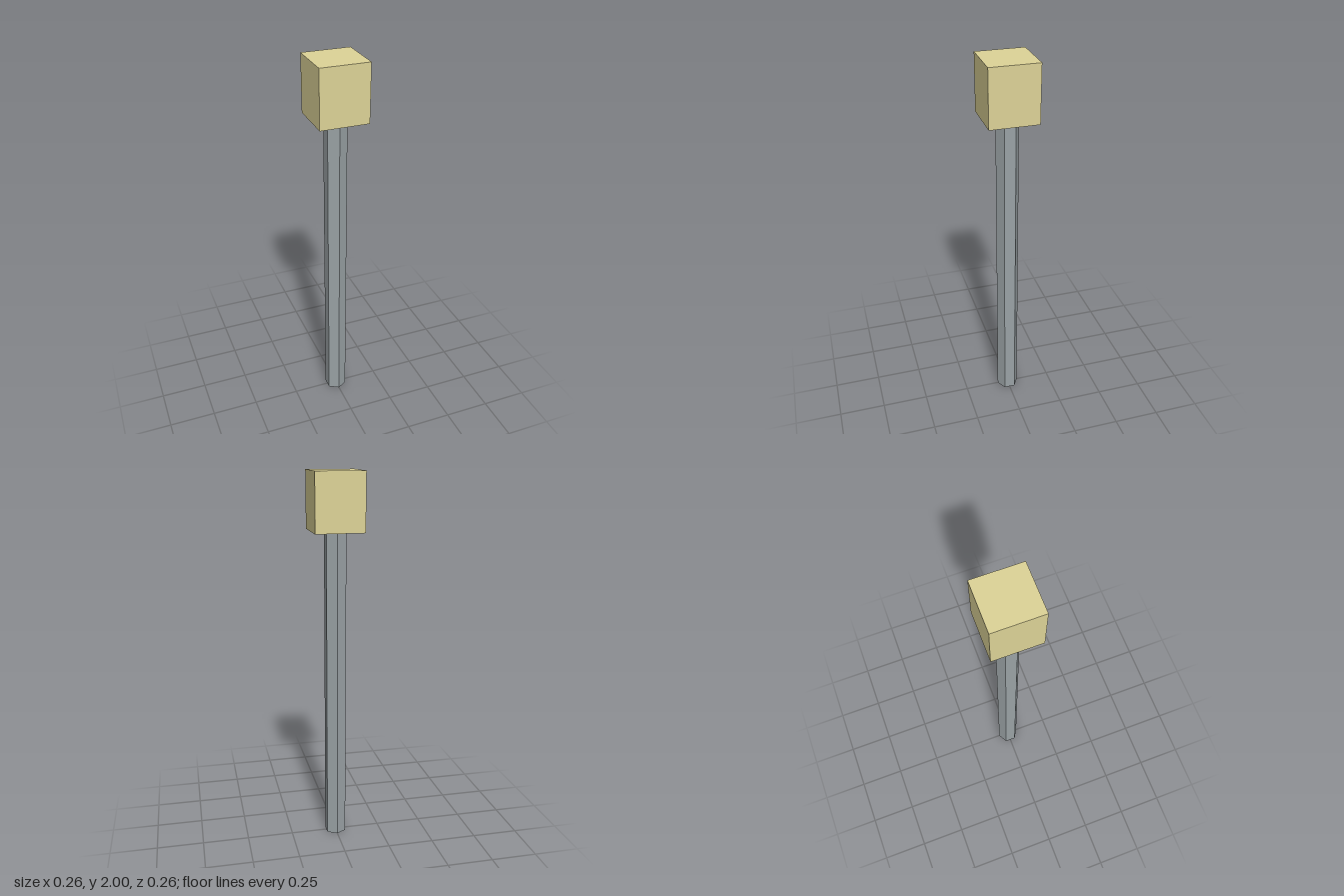
import * as THREE from 'three';

export function createModel() {
  const model = new THREE.Group();
  const poleHeight = 1.7, headHeight = 0.3, headWidth = 0.256;

  const addPart = (name, geometry, color, y) => {
    const material = new THREE.MeshStandardMaterial({ color, flatShading: true });
    const mesh = new THREE.Mesh(geometry, material);
    mesh.name = name;
    mesh.position.y = y;
    model.add(mesh);
  };

  // Six-sided pole with corners facing front and back
  addPart('pole', new THREE.CylinderGeometry(0.06, 0.06, poleHeight, 6), 0x9aa2a5, poleHeight / 2);

  // Square block on top
  addPart('head', new THREE.BoxGeometry(headWidth, headHeight, headWidth), 0xddd397, poleHeight + headHeight / 2);

  return model;
}
